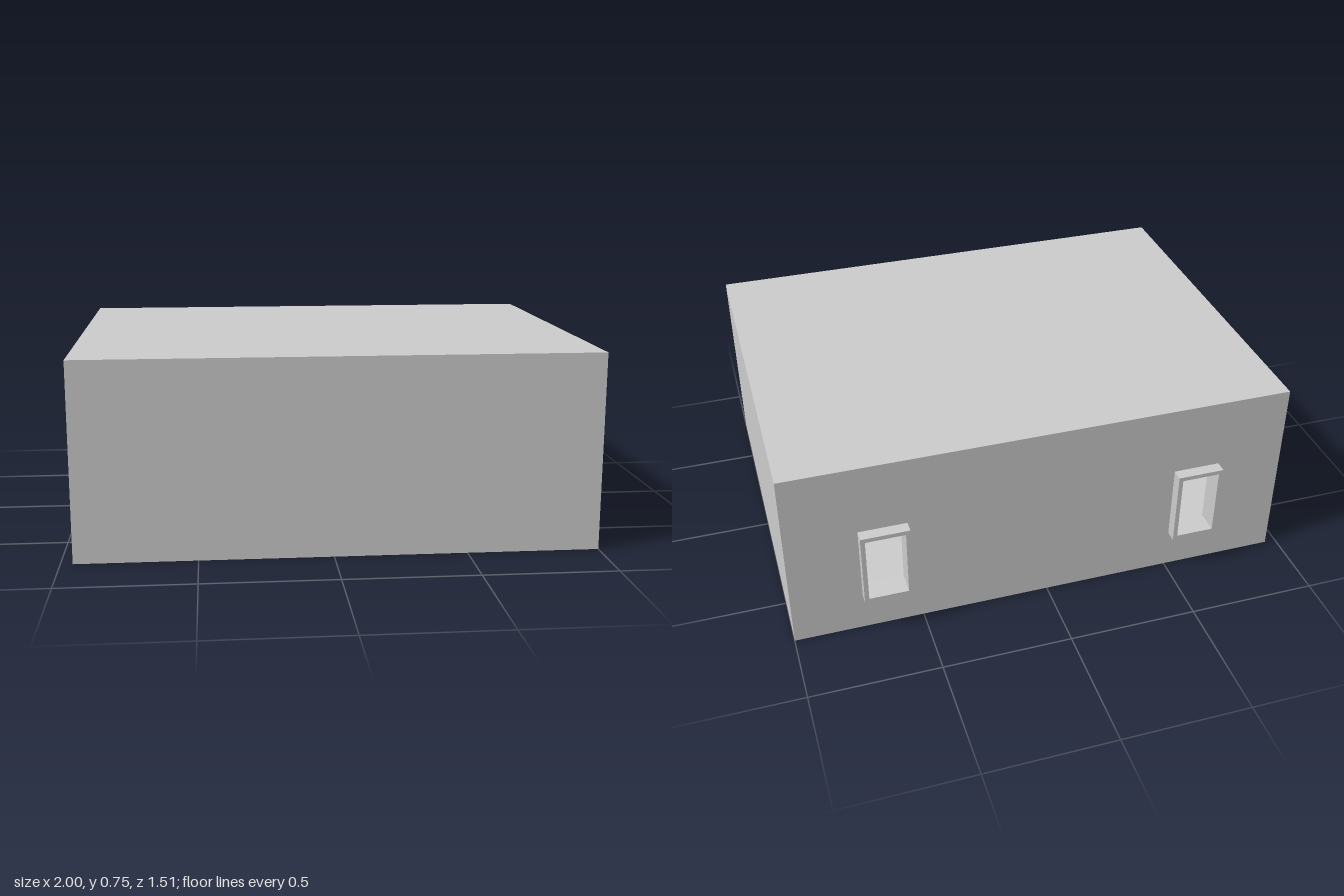
import * as THREE from 'three';

const T = 0.045; // wall thickness and frame projection
const X0 = -0.955, X1 = 1, Z0 = -0.71, Z1 = 0.755, H = 0.75;
const Y0 = 0.16, Y1 = 0.467; // outer height range of the window frames
const RIM = 0.017;

export function createModel() {
  const model = new THREE.Group();
  const material = new THREE.MeshStandardMaterial({ color: 0xcccccc });

  const add = (name, geometry, parent = model) => {
    const mesh = new THREE.Mesh(geometry, material);
    mesh.name = name;
    parent.add(mesh);
    return mesh;
  };

  // Box given by its two opposite corners
  const block = (name, x0, x1, y0, y1, z0, z1) => {
    add(name, new THREE.BoxGeometry(x1 - x0, y1 - y0, z1 - z0))
      .position.set((x0 + x1) / 2, (y0 + y1) / 2, (z0 + z1) / 2);
  };

  const outline = (Kind, a0, a1, b0, b1) => new Kind([
    new THREE.Vector2(a0, b0), new THREE.Vector2(a1, b0),
    new THREE.Vector2(a1, b1), new THREE.Vector2(a0, b1),
  ]);

  // Upright panel with window openings, extruded by T
  const panel = (a0, a1, b0, b1, openings) => {
    const shape = outline(THREE.Shape, a0, a1, b0, b1);
    for (const [w0, w1] of openings) {
      shape.holes.push(outline(THREE.Path, w0 + RIM, w1 - RIM, Y0 + RIM, Y1 - RIM));
    }
    return new THREE.ExtrudeGeometry(shape, { depth: T, bevelEnabled: false });
  };

  // Back wall with two framed windows
  const backWindows = [[-0.69, -0.507], [0.545, 0.73]];
  add('backWall', panel(X0, X1, 0, H, backWindows)).position.z = Z0;
  for (const w of backWindows) {
    add('backWindowFrame', panel(w[0], w[1], Y0, Y1, [w])).position.z = Z0 - T;
  }

  // Right wall with one framed window; the panels are turned to face -x
  const sideWindow = [-0.4, -0.213];
  const rightSide = new THREE.Group();
  rightSide.name = 'rightSide';
  rightSide.rotation.y = -Math.PI / 2;
  rightSide.position.x = X0 + T;
  model.add(rightSide);
  add('rightWall', panel(Z0 + T, Z1 - T, 0, H, [sideWindow]), rightSide);
  add('rightWindowFrame', panel(sideWindow[0], sideWindow[1], Y0, Y1, [sideWindow]), rightSide).position.z = T;

  // Plain walls, floor and roof
  block('frontWall', X0, X1, 0, H, Z1 - T, Z1);
  block('leftWall', X1 - T, X1, 0, H, Z0 + T, Z1 - T);
  block('floor', X0 + T, X1 - T, 0, 0.02, Z0 + T, Z1 - T);
  block('roof', X0 + T, X1 - T, H - 0.02, H, Z0 + T, Z1 - T);

  // Ceiling beam across the room
  block('ceilingBeam', X0 + T, X1 - T, H - 0.07, H - 0.02, -0.23, -0.13);

  return model;
}
